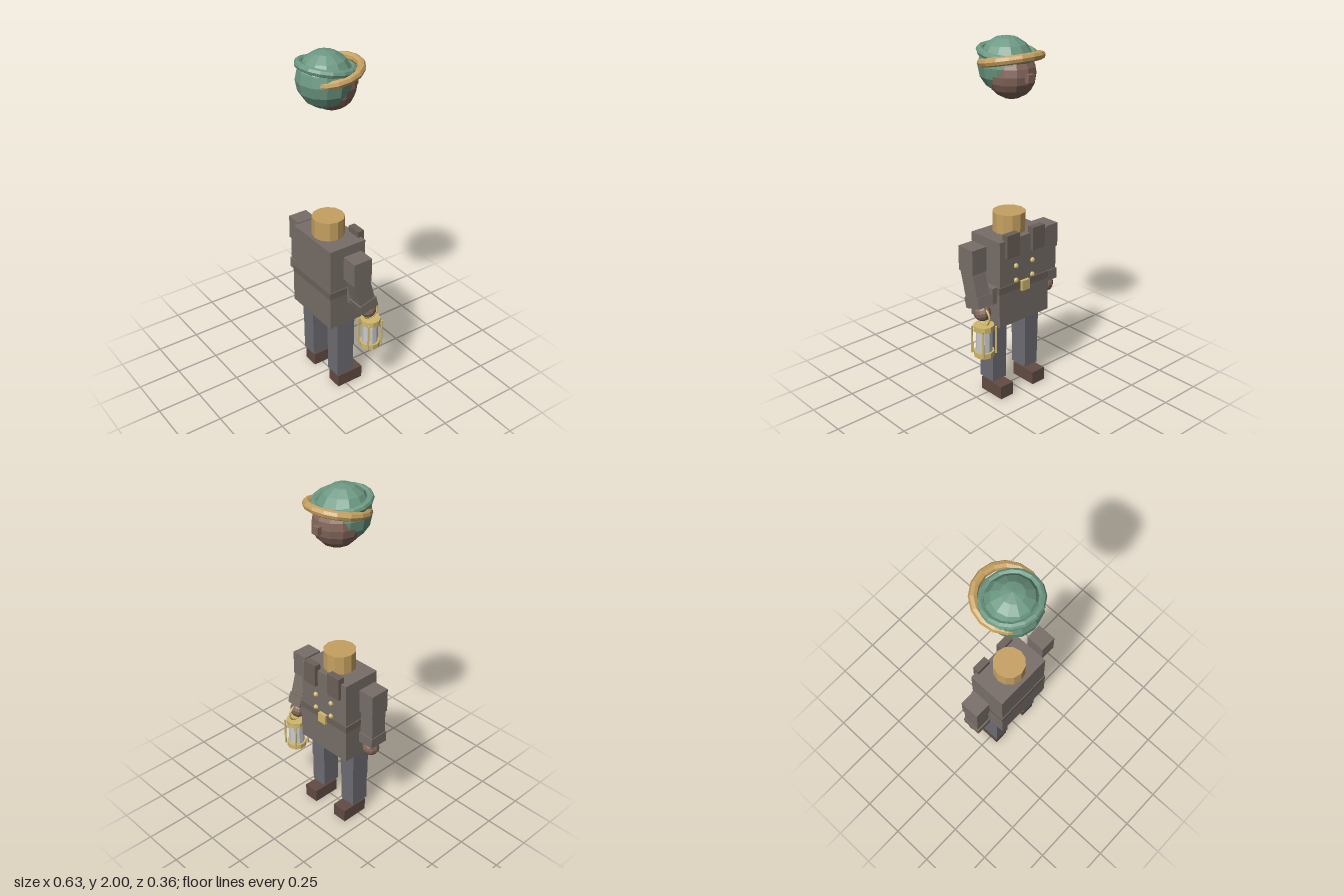
import * as THREE from 'three';

const mat = (color) => new THREE.MeshStandardMaterial({ color, flatShading: true });
const COAT = mat(0x786e68), BELT = mat(0x6b6159), CLOTH = mat(0x6c6c73), SHOE = mat(0x624c43);
const SKIN = mat(0x84675b), GREEN = mat(0x6d9983), GOLD = mat(0xc6a161), BRASS = mat(0xd0b86c);
const GLASS = mat(0xe2e2e2);

function add(parent, name, geometry, material, x, y, z) {
  const mesh = new THREE.Mesh(geometry, material);
  mesh.name = name;
  mesh.position.set(x, y, z);
  parent.add(mesh);
  return mesh;
}
const box = (w, h, d) => new THREE.BoxGeometry(w, h, d);
const ball = (r, w = 10, h = 8) => new THREE.SphereGeometry(r, w, h);
const ring = (r, tube) => new THREE.TorusGeometry(r, tube, 8, 16).rotateX(Math.PI / 2);
const group = (parent, name, x = 0, y = 0, z = 0) => {
  const g = new THREE.Group();
  g.name = name;
  g.position.set(x, y, z);
  parent.add(g);
  return g;
};

// Floating head, with the face towards -z
function buildHead(parent) {
  const head = group(parent, 'head');
  add(head, 'face', ball(0.13, 12, 10), SKIN, 0, 1.81, -0.012);
  add(head, 'nose', box(0.042, 0.042, 0.05), SKIN, 0, 1.806, -0.137);
  add(head, 'capDome', ball(0.149, 12, 8), GREEN, 0, 1.851, 0.03);
  add(head, 'capBand', ring(0.141, 0.02), GREEN, 0, 1.915, 0.022).rotation.x = -0.15;
  add(head, 'capBrim', ring(0.154, 0.023), GOLD, 0, 1.884, -0.008).rotation.x = 0.2;
}

// Coat, collar and the details on its front
function buildTorso(parent) {
  const torso = group(parent, 'torso');
  add(torso, 'coat', box(0.347, 0.27, 0.23), COAT, 0, 0.815, 0.003);
  add(torso, 'belt', box(0.362, 0.04, 0.242), BELT, 0, 0.67, 0.003);
  add(torso, 'skirt', box(0.36, 0.2, 0.24), COAT, 0, 0.555, 0.003);
  add(torso, 'collar', new THREE.CylinderGeometry(0.091, 0.091, 0.112, 12), GOLD, 0, 1.004, 0.009);
  add(torso, 'buckle', box(0.056, 0.058, 0.02), BRASS, 0, 0.663, -0.121);
  add(torso, 'pouch', box(0.06, 0.092, 0.105), COAT, 0.181, 0.645, -0.042);
  for (const s of [-1, 1]) {
    add(torso, 'lapel', box(0.088, 0.132, 0.04), BELT, s * 0.092, 0.919, -0.112);
    for (const y of [0.705, 0.79]) {
      add(torso, 'button', ball(0.015, 8, 6), BRASS, s * 0.06, y, -0.115);
    }
  }
}

// Upper arm, forearm swung from the elbow, cuff and hand
function buildArm(parent, name, side, bend) {
  const arm = group(parent, name, side * 0.264, 0, 0.004);
  add(arm, 'upperArm', box(0.097, 0.14, 0.114), COAT, 0, 0.855, 0);
  const elbow = group(arm, 'elbow', 0, 0.79, 0);
  elbow.rotation.x = bend;
  add(elbow, 'forearm', box(0.088, 0.19, 0.098), COAT, 0, -0.085, 0);
  add(elbow, 'cuff', box(0.097, 0.062, 0.112), COAT, 0, -0.174, 0);
  add(elbow, 'hand', ball(0.048), SKIN, 0, -0.238, -0.012);
}

// Legs and shoes
function buildLeg(parent, side) {
  const leg = group(parent, side > 0 ? 'leftLeg' : 'rightLeg', side * 0.121);
  add(leg, 'thigh', box(0.099, 0.2, 0.116), CLOTH, 0, 0.37, 0.009);
  add(leg, 'shin', box(0.095, 0.19, 0.11), CLOTH, 0, 0.183, 0.009);
  add(leg, 'shoe', box(0.09, 0.077, 0.165), SHOE, 0, 0.0385, -0.028);
}

// Lantern hanging from the left hand
function buildLantern(parent) {
  const lantern = group(parent, 'lantern', 0.267, 0, -0.087);
  for (const y of [0.329, 0.484]) {
    add(lantern, 'cap', new THREE.CylinderGeometry(0.057, 0.057, 0.03, 10), BRASS, 0, y, 0);
  }
  add(lantern, 'glass', new THREE.CylinderGeometry(0.045, 0.045, 0.126, 10), GLASS, 0, 0.407, 0);
  for (const sx of [-1, 1]) for (const sz of [-1, 1]) {
    add(lantern, 'post', new THREE.CylinderGeometry(0.006, 0.006, 0.16, 6), BRASS, sx * 0.046, 0.407, sz * 0.046);
  }
  add(lantern, 'handle', new THREE.TorusGeometry(0.047, 0.006, 6, 14), BRASS, 0, 0.546, 0).rotation.y = Math.PI / 2;
}

export function createModel() {
  const root = new THREE.Group();
  root.name = 'lanternBearer';
  const figure = group(root, 'figure', -0.006);
  buildHead(figure);
  buildTorso(figure);
  buildArm(figure, 'rightArm', -1, 0);
  buildArm(figure, 'leftArm', 1, 0.27);
  for (const side of [-1, 1]) buildLeg(figure, side);
  buildLantern(figure);
  return root;
}
